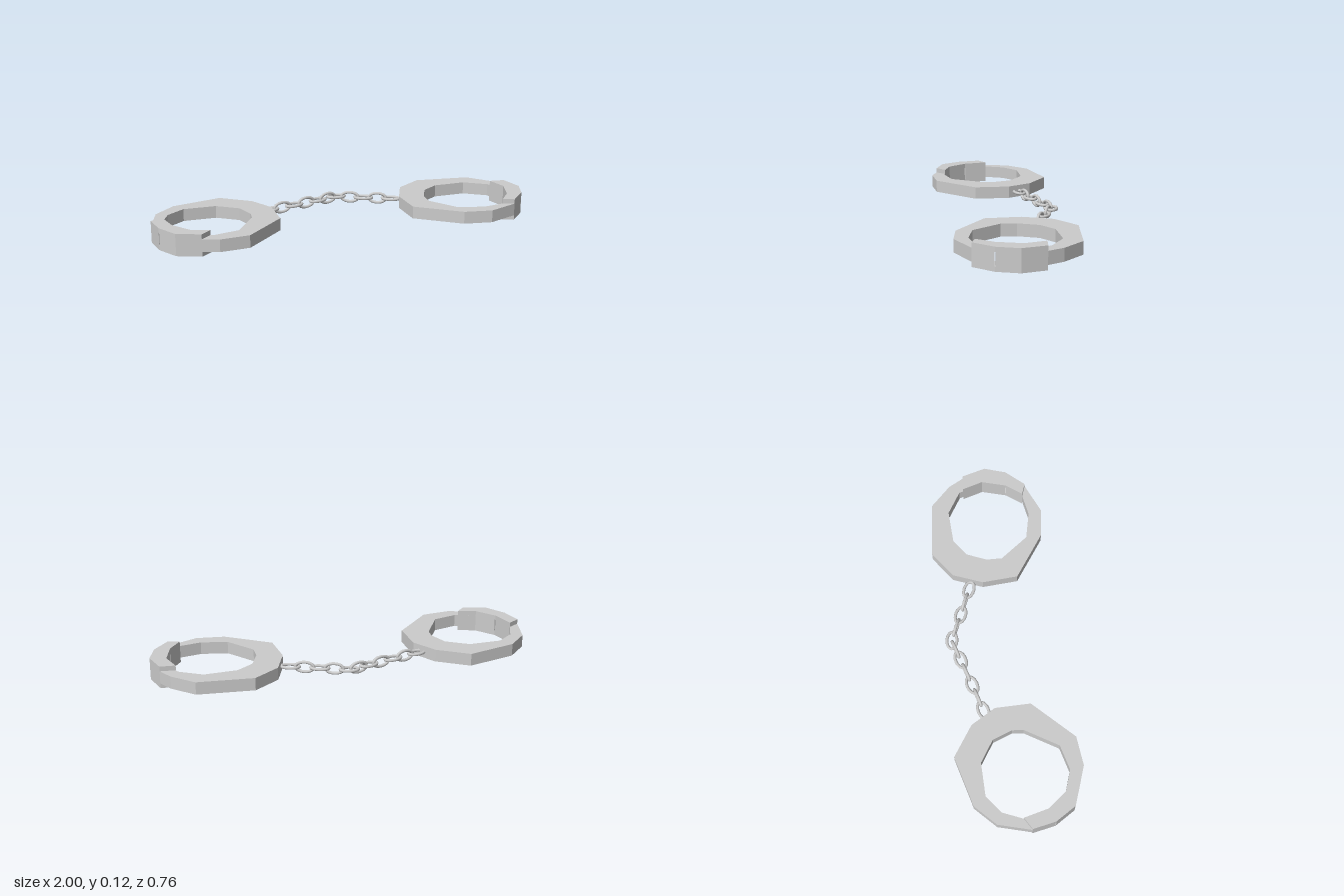
import * as THREE from 'three';

const material = new THREE.MeshStandardMaterial({ color: 0xcccccc });
const BAR_LOW = 0.025, BAR_HIGH = 0.09, TOP = 0.115;

// Flat plate with an [x, z] outline, standing between two heights.
function plate(name, outline, low, high) {
  const shape = new THREE.Shape(outline.map(([x, z]) => new THREE.Vector2(x, -z)));
  const geometry = new THREE.ExtrudeGeometry(shape, { depth: high - low, bevelEnabled: false });
  geometry.rotateX(-Math.PI / 2).translate(0, low, 0);
  const mesh = new THREE.Mesh(geometry, material);
  mesh.name = name;
  return mesh;
}

// Closes a loop of points but leaves a narrow slit at its first point.
function slitLoop(points) {
  const nudge = ([ax, az], [bx, bz]) => {
    const t = 0.003 / Math.hypot(bx - ax, bz - az);
    return [ax + (bx - ax) * t, az + (bz - az) * t];
  };
  const first = points[0];
  return [nudge(first, points[1]), ...points.slice(1), nudge(first, points[points.length - 1])];
}

// Faceted ring, split at the clasp, with a raised plate above and below the joint.
function cuff(name, { outer, inner, clasp }) {
  const group = new THREE.Group();
  group.name = name;
  const ring = [...slitLoop(outer), ...slitLoop(inner).reverse()];
  group.add(
    plate('ring', ring, BAR_LOW, BAR_HIGH),
    plate('claspTop', clasp, BAR_HIGH, TOP),
    plate('claspBottom', clasp, 0, BAR_LOW)
  );
  return group;
}

// Outlines start at the slit.
const leftCuff = {
  outer: [[0.975, 0.02], [0.9, 0.125], [0.75, 0.21], [0.6, 0.205], [0.36, 0.07], [0.33, -0.115],
    [0.375, -0.275], [0.5, -0.385], [0.79, -0.385], [0.905, -0.29], [0.955, -0.215], [1, -0.095]],
  inner: [[0.893, 0.02], [0.84, 0.11], [0.73, 0.142], [0.59, 0.125], [0.468, -0.01], [0.462, -0.09],
    [0.495, -0.2], [0.575, -0.27], [0.745, -0.295], [0.867, -0.235], [0.917, -0.11]],
  clasp: [[0.955, -0.215], [1, -0.095], [0.975, 0.02], [0.9, 0.125],
    [0.84, 0.11], [0.893, 0.02], [0.917, -0.11], [0.875, -0.215]]
};
const rightCuff = {
  outer: [[-0.965, 0.227], [-0.89, 0.325], [-0.68, 0.377], [-0.53, 0.345], [-0.35, 0.12], [-0.37, -0.065],
    [-0.457, -0.185], [-0.623, -0.275], [-0.875, -0.18], [-0.97, -0.065], [-1, 0.11]],
  inner: [[-0.9, 0.19], [-0.815, 0.28], [-0.7, 0.307], [-0.575, 0.26], [-0.49, 0.08], [-0.49, 0.02],
    [-0.537, -0.078], [-0.655, -0.14], [-0.826, -0.12], [-0.91, -0.04], [-0.943, 0.067]],
  clasp: [[-1, 0.11], [-0.965, 0.227], [-0.89, 0.325], [-0.765, 0.356],
    [-0.718, 0.303], [-0.815, 0.28], [-0.9, 0.19], [-0.943, 0.067]]
};

// Oval wire link lying flat with its length along x.
function linkGeometry() {
  const points = [];
  for (let i = 0; i < 12; i++) {
    const a = (i / 12) * Math.PI * 2;
    points.push(new THREE.Vector3(0.047 * Math.cos(a), 0, 0.026 * Math.sin(a)));
  }
  return new THREE.TubeGeometry(new THREE.CatmullRomCurve3(points, true), 24, 0.008, 8, true);
}

// Chain of links, alternately flat and upright, along its sagging path.
function chain() {
  const group = new THREE.Group();
  group.name = 'chain';
  const path = [[-0.372, -0.124], [-0.302, -0.152], [-0.233, -0.18], [-0.163, -0.21], [-0.094, -0.238],
    [-0.035, -0.264], [0.015, -0.283], [0.088, -0.259], [0.158, -0.236], [0.232, -0.212], [0.302, -0.19]];
  const geometry = linkGeometry();
  path.forEach(([x, z], i) => {
    const a = path[Math.max(i - 1, 0)], b = path[Math.min(i + 1, path.length - 1)];
    const link = new THREE.Mesh(geometry, material);
    link.name = 'link' + (i + 1);
    link.position.set(x, (BAR_LOW + BAR_HIGH) / 2, z);
    link.rotation.order = 'YXZ';
    link.rotation.y = -Math.atan2(b[1] - a[1], b[0] - a[0]);
    link.rotation.x = i % 2 ? Math.PI / 2 : 0;
    group.add(link);
  });
  return group;
}

export function createModel() {
  const model = new THREE.Group();
  model.name = 'handcuffs';
  model.add(cuff('leftCuff', leftCuff), cuff('rightCuff', rightCuff), chain());
  return model;
}
